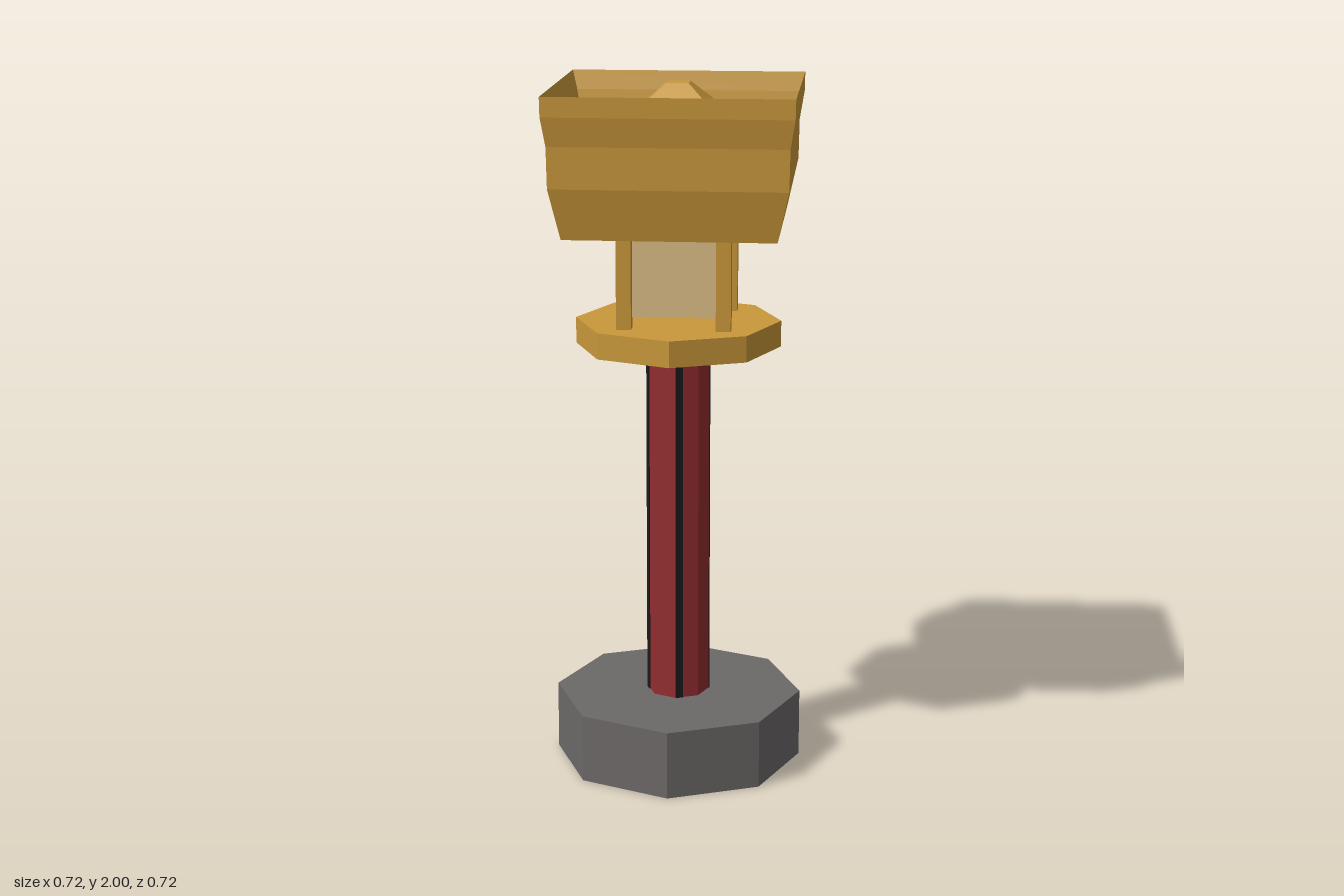
import * as THREE from 'three';

const mat = (name, color) => {
  const m = new THREE.MeshStandardMaterial({ color });
  m.name = name;
  return m;
};

export function createModel() {
  const gold = mat('gold', 0xc9983a);
  const stone = mat('stone grey', 0x6c6868);
  const red = mat('dark red', 0x922d30);
  const black = mat('black', 0x1c1a1b);
  const paper = mat('paper cream', 0xdabb85);

  const model = new THREE.Group();
  model.name = 'lanternPost';

  const add = (name, geometry, material, x = 0, y = 0, z = 0, parent = model) => {
    const mesh = new THREE.Mesh(geometry, material);
    mesh.name = name;
    mesh.position.set(x, y, z);
    parent.add(mesh);
    return mesh;
  };

  // Flat-faced copy of a geometry
  const faceted = (g) => {
    const flat = g.toNonIndexed();
    flat.computeVertexNormals();
    return flat;
  };

  // Eight-sided prism standing between two heights, corners on the axes
  const octagon = (name, r, y0, y1, material) =>
    add(name, faceted(new THREE.CylinderGeometry(r, r, y1 - y0, 8)), material, 0, (y0 + y1) / 2, 0);

  octagon('base', 0.362, 0, 0.2, stone);
  octagon('pole', 0.09, 0.2, 1.25, red);
  octagon('platform', 0.295, 1.25, 1.325, gold);

  // Dark strips lying on every other pole facet, beside the corner
  for (let i = 0; i < 4; i++) {
    const side = new THREE.Group();
    side.name = 'poleStrip' + (i + 1);
    side.rotation.y = i * Math.PI / 2 + Math.PI / 8;
    const apothem = 0.09 * Math.cos(Math.PI / 8);
    const corner = -0.09 * Math.sin(Math.PI / 8);
    add('strip', new THREE.BoxGeometry(0.022, 1.05, 0.008), black, corner + 0.011, 0.725, apothem - 0.001, side);
    model.add(side);
  }

  // Lantern box and its four corner posts
  add('lanternBox', new THREE.BoxGeometry(0.25, 0.44, 0.25), paper, 0, 1.575, 0);
  for (const x of [-0.14, 0.14]) {
    for (const z of [-0.14, 0.14]) {
      add('cornerPost', new THREE.BoxGeometry(0.042, 0.47, 0.042), gold, x, 1.56, z);
    }
  }

  // Square roof: hollow skirt, flared wall, sunken floor and pyramid.
  // Profile is half-width and height, from the ceiling round to the cap.
  const profile = [
    [0, 1.79], [0.29, 1.79], [0.27, 1.602], [0.295, 1.602],
    [0.326, 1.745], [0.328, 1.86], [0.341, 1.94], [0.342, 1.995],
    [0.328, 1.94], [0.305, 1.81], [0.246, 1.81],
    [0.155, 1.887], [0.032, 2], [0, 2],
  ].map(([w, y]) => new THREE.Vector2(w * Math.SQRT2, y));
  add('roof', faceted(new THREE.LatheGeometry(profile, 4, Math.PI / 4)), gold);

  return model;
}
